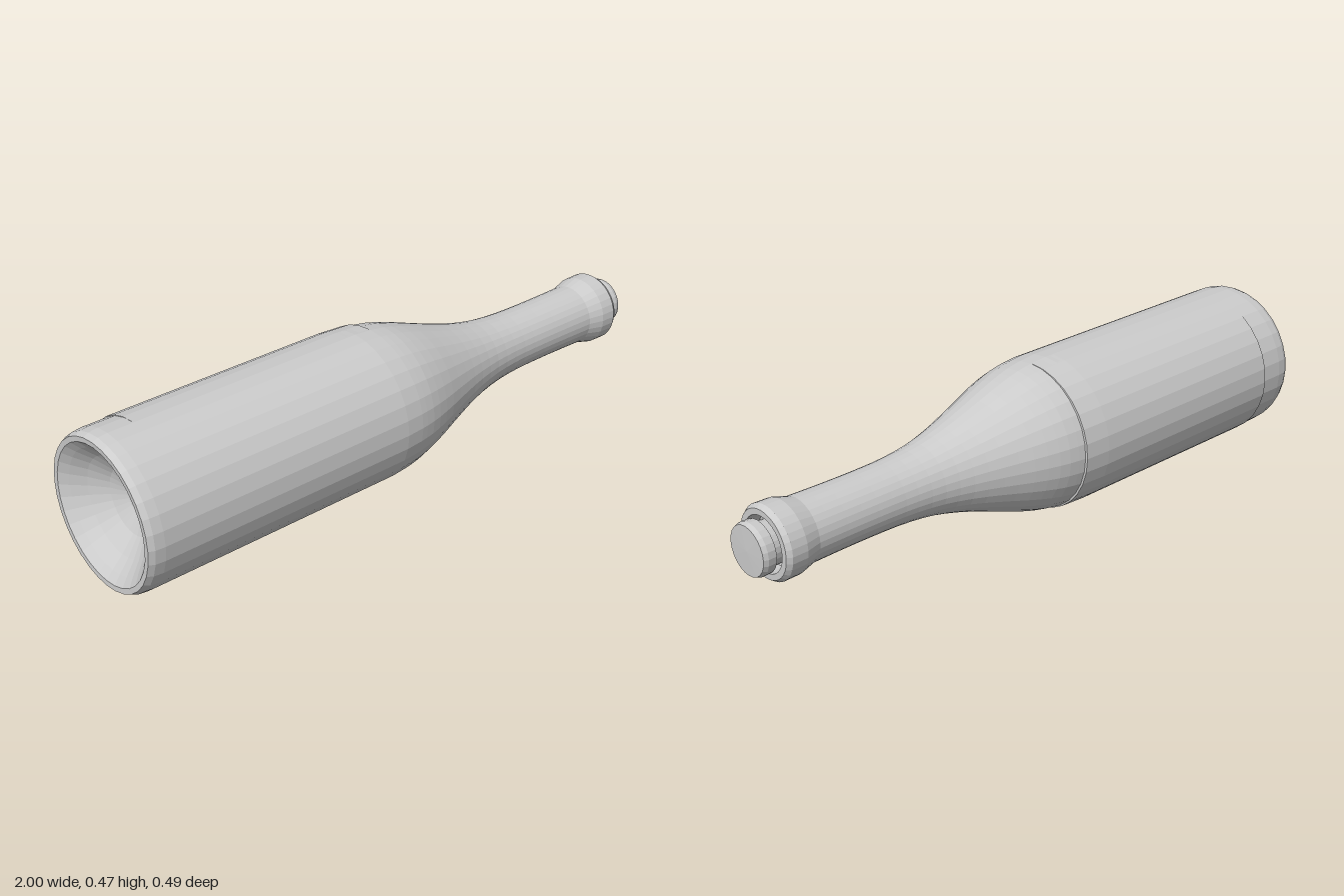
import * as THREE from 'three';

const material = new THREE.MeshStandardMaterial({
  color: 0xcccccc, flatShading: true, side: THREE.DoubleSide,
});

// Revolve [radius, position along the bottle] pairs about the bottle's axis
function revolve(name, profile, segments, start = 0, sweep = Math.PI * 2) {
  const points = profile.map(([r, x]) => new THREE.Vector2(r, x));
  const geometry = new THREE.LatheGeometry(points, segments, start, sweep);
  geometry.rotateZ(-Math.PI / 2); // axis from y to x
  const mesh = new THREE.Mesh(geometry, material);
  mesh.name = name;
  return mesh;
}

export function createModel() {
  const model = new THREE.Group();
  model.name = 'bottle';
  const lying = new THREE.Group();
  lying.name = 'lyingBottle';

  // Hollow punt in the base, then the straight wall
  const base = [
    [0, -0.87], [0.05, -0.875], [0.1, -0.9], [0.15, -0.94], [0.185, -0.975],
    [0.21, -0.997], [0.226, -0.998], [0.234, -0.98],
  ];
  const wall = [];
  for (let i = 0; i <= 10; i++) wall.push([0.237, -0.95 + i * 0.085]);

  // Shoulder and neck, eased through a few radii
  const shoulder = new THREE.SplineCurve([
    [-0.04, 0.232], [0.02, 0.222], [0.1, 0.199], [0.2, 0.164], [0.3, 0.132],
    [0.4, 0.109], [0.5, 0.098], [0.6, 0.095], [0.72, 0.095], [0.83, 0.097],
  ].map(([x, r]) => new THREE.Vector2(r, x))).getPoints(20).map((p) => [p.x, p.y]);

  // Collar, lip and the inside of the mouth
  const mouth = [
    [0.104, 0.855], [0.111, 0.88], [0.112, 0.93], [0.102, 0.945],
    [0.084, 0.945], [0.08, 0.9], [0.062, 0.89],
  ];
  lying.add(revolve('glass', [...base, ...wall, ...shoulder, ...mouth], 32));

  // Stopper with a narrow stem and a chamfered cap
  lying.add(revolve('stopper', [
    [0.062, 0.89], [0.066, 0.955], [0.078, 0.957], [0.079, 0.983],
    [0.074, 0.997], [0, 0.999],
  ], 24));

  // Label on the back, offset so its long edges merge into the wall
  const label = revolve('backLabel', [
    [0.225, -0.87], [0.237, -0.869], [0.237, -0.6], [0.237, -0.35],
    [0.237, -0.13], [0.233, -0.041], [0.225, -0.04],
  ], 16, Math.PI / 2, Math.PI);
  label.position.z = -0.006;
  lying.add(label);

  // The bottle lies with its neck turned slightly to the back
  lying.rotation.y = 0.017;
  lying.position.set(0, 0.24, -0.006);
  model.add(lying);
  return model;
}
